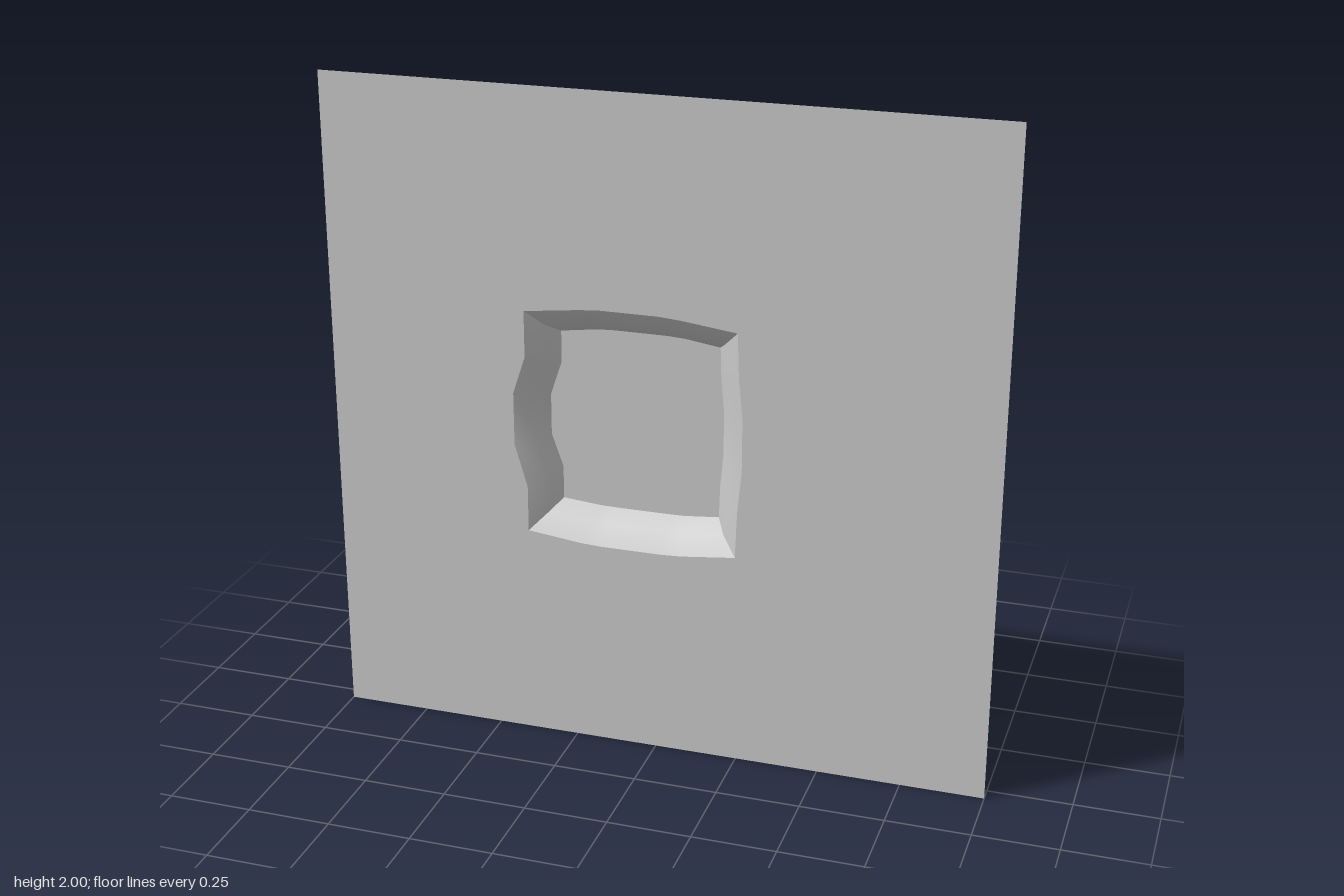
import * as THREE from 'three';

const FRONT = 0.045, BACK = -0.045;

// Outlines of the opening, one run of points per side, counter-clockwise from the bottom left
const rim = {
  bottom: [[-0.395, 0.66], [-0.23, 0.641], [-0.17, 0.638], [0.01, 0.638], [0.075, 0.641], [0.24, 0.66]],
  right: [[0.24, 0.66], [0.245, 0.8], [0.257, 0.93], [0.257, 1.09], [0.245, 1.21], [0.24, 1.345]],
  top: [[0.24, 1.345], [0.075, 1.365], [0.01, 1.37], [-0.17, 1.37], [-0.23, 1.365], [-0.395, 1.345]],
  left: [[-0.395, 1.345], [-0.395, 1.205], [-0.433, 1.09], [-0.433, 0.93], [-0.395, 0.8], [-0.395, 0.66]],
};
const floor = {
  bottom: [[-0.315, 0.74], [-0.2, 0.73], [-0.15, 0.729], [0.01, 0.729], [0.06, 0.73], [0.165, 0.74]],
  right: [[0.165, 0.74], [0.168, 0.84], [0.177, 0.94], [0.177, 1.07], [0.168, 1.17], [0.165, 1.265]],
  top: [[0.165, 1.265], [0.06, 1.28], [0.01, 1.283], [-0.15, 1.283], [-0.2, 1.281], [-0.315, 1.265]],
  left: [[-0.315, 1.265], [-0.315, 1.17], [-0.35, 1.065], [-0.35, 0.94], [-0.315, 0.84], [-0.315, 0.74]],
};
// Wall profile: [share of the way from rim to floor, z]
const profile = [[0, FRONT], [0.62, 0.006], [1, BACK]];

const outline = (sides) =>
  Object.values(sides).flatMap((run) => run.slice(0, -1)).map(([x, y]) => new THREE.Vector2(x, y));

// One sloping wall lofted between its rim run and its floor run
function wallGeometry(outer, inner) {
  const pos = [], index = [], n = outer.length;
  for (const [t, z] of profile) {
    outer.forEach(([x, y], i) => {
      pos.push(x + (inner[i][0] - x) * t, y + (inner[i][1] - y) * t, z);
    });
  }
  for (let r = 0; r < profile.length - 1; r++) {
    for (let i = 0; i < n - 1; i++) {
      const a = r * n + i, b = a + 1, c = a + n, d = c + 1;
      index.push(a, b, d, a, d, c);
    }
  }
  const geo = new THREE.BufferGeometry();
  geo.setAttribute('position', new THREE.Float32BufferAttribute(pos, 3));
  geo.setIndex(index);
  geo.computeVertexNormals();
  return geo;
}

export function createModel() {
  const group = new THREE.Group();
  group.name = 'recessedPanel';
  const material = new THREE.MeshStandardMaterial({ color: 0xcccccc, side: THREE.DoubleSide });
  const add = (name, geometry, z = 0) => {
    const mesh = new THREE.Mesh(geometry, material);
    mesh.name = name;
    mesh.position.z = z;
    group.add(mesh);
  };

  // Flat square sheet with the opening cut out
  const sheet = new THREE.Shape([[-1, 0], [1, 0], [1, 2], [-1, 2]].map(([x, y]) => new THREE.Vector2(x, y)));
  sheet.holes.push(new THREE.Path(outline(rim).reverse()));
  add('sheet', new THREE.ShapeGeometry(sheet), FRONT);

  // Sloping walls of the recess
  for (const side of Object.keys(rim)) add(`${side}Wall`, wallGeometry(rim[side], floor[side]));

  // Flat floor of the recess
  add('recessFloor', new THREE.ShapeGeometry(new THREE.Shape(outline(floor))), BACK);

  return group;
}
